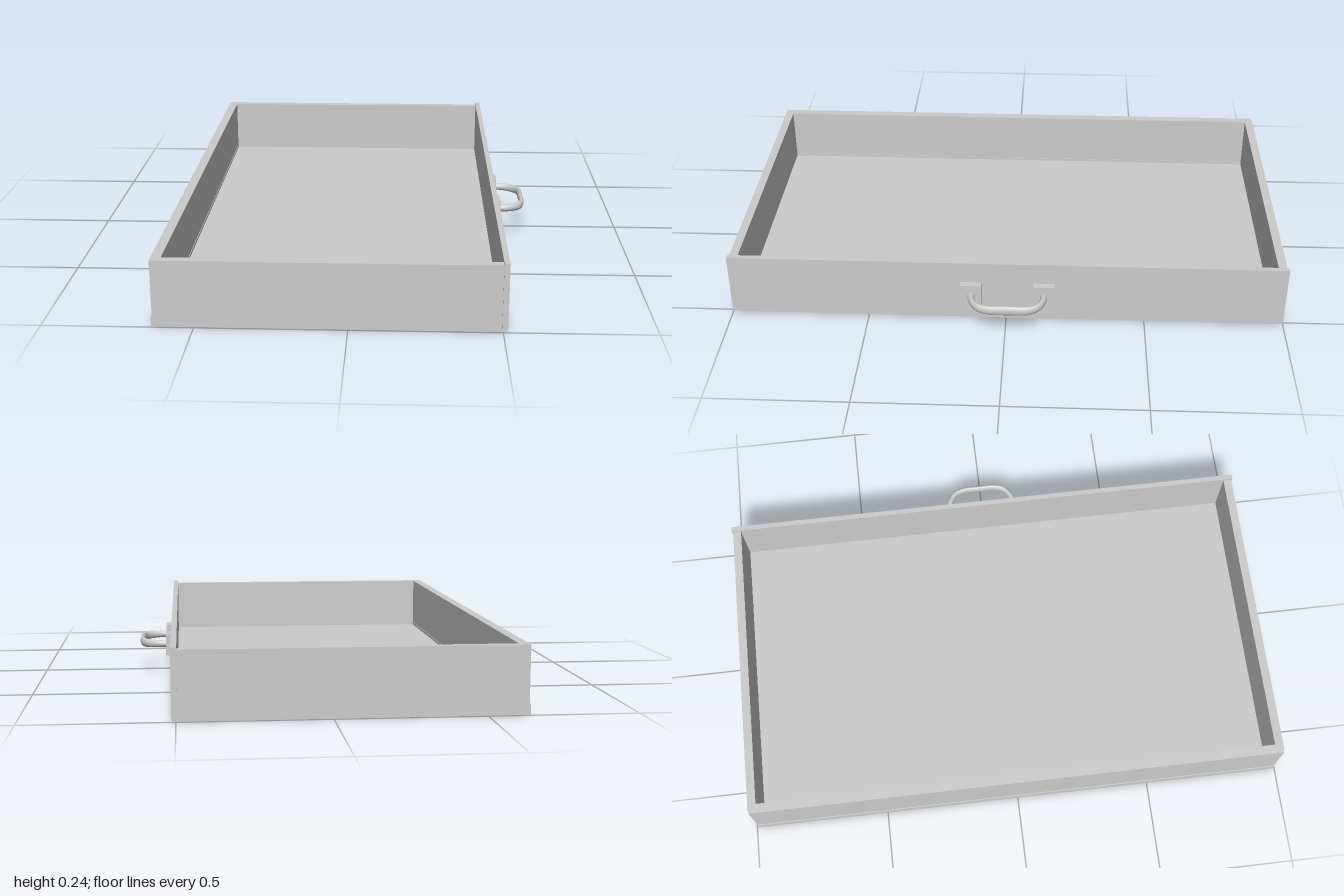
import * as THREE from 'three';
import { ParametricGeometry } from 'three/addons/geometries/ParametricGeometry.js';

const material = new THREE.MeshStandardMaterial({ color: 0xcccccc });

// Box given by its minimum and maximum corner
function box(name, [x0, y0, z0], [x1, y1, z1]) {
  const mesh = new THREE.Mesh(new THREE.BoxGeometry(x1 - x0, y1 - y0, z1 - z0), material);
  mesh.name = name;
  mesh.position.set((x0 + x1) / 2, (y0 + y1) / 2, (z0 + z1) / 2);
  return mesh;
}

// Bow handle: an oval section swept along a U, taller and flatter in the middle
function bowHandle() {
  const path = new THREE.CatmullRomCurve3([
    [0.53, -0.13], [0.56, -0.129], [0.59, -0.119], [0.615, -0.098], [0.627, -0.065], [0.628, 0],
    [0.627, 0.065], [0.615, 0.098], [0.59, 0.119], [0.56, 0.129], [0.53, 0.13],
  ].map(([x, z]) => new THREE.Vector3(x, 0, z)));
  const geometry = new ParametricGeometry((u, v, target) => {
    const p = path.getPointAt(u);
    const t = path.getTangentAt(u);
    const swell = Math.sin(Math.PI * u);
    const a = v * Math.PI * 2;
    const across = (0.013 - 0.004 * swell) * Math.cos(a);
    const height = (0.012 + 0.006 * swell) * Math.sin(a);
    target.set(p.x - t.z * across, height, p.z + t.x * across);
  }, 48, 16);
  const mesh = new THREE.Mesh(geometry, material);
  mesh.name = 'handleBar';
  return mesh;
}

export function createModel() {
  const model = new THREE.Group();
  model.name = 'drawer';

  // Tray: bottom board with a small lip at the back, and three walls
  model.add(
    box('bottomBoard', [-0.635, 0, -0.993], [0.505, 0.025, 0.993]),
    box('backLip', [-0.64, 0, -0.993], [-0.6, 0.035, 0.993]),
    box('backWall', [-0.636, 0.02, -0.993], [-0.602, 0.23, 0.993]),
  );
  for (const s of [-1, 1]) {
    const inner = s * 0.965, outer = s * 0.996;
    model.add(box(s > 0 ? 'nearSideWall' : 'farSideWall',
      [-0.624, 0.025, Math.min(inner, outer)], [0.498, 0.23, Math.max(inner, outer)]));
  }

  // Face panel, slightly taller than the tray
  model.add(box('facePanel', [0.496, 0.005, -1], [0.515, 0.238, 1]));

  // Pull: two square plates and a bow
  const pull = new THREE.Group();
  pull.name = 'pull';
  pull.position.set(0, 0.118, -0.006);
  for (const z of [-0.13, 0.13]) {
    pull.add(box('handlePlate', [0.51, -0.04, z - 0.038], [0.54, 0.04, z + 0.038]));
  }
  pull.add(bowHandle());
  model.add(pull);

  return model;
}
